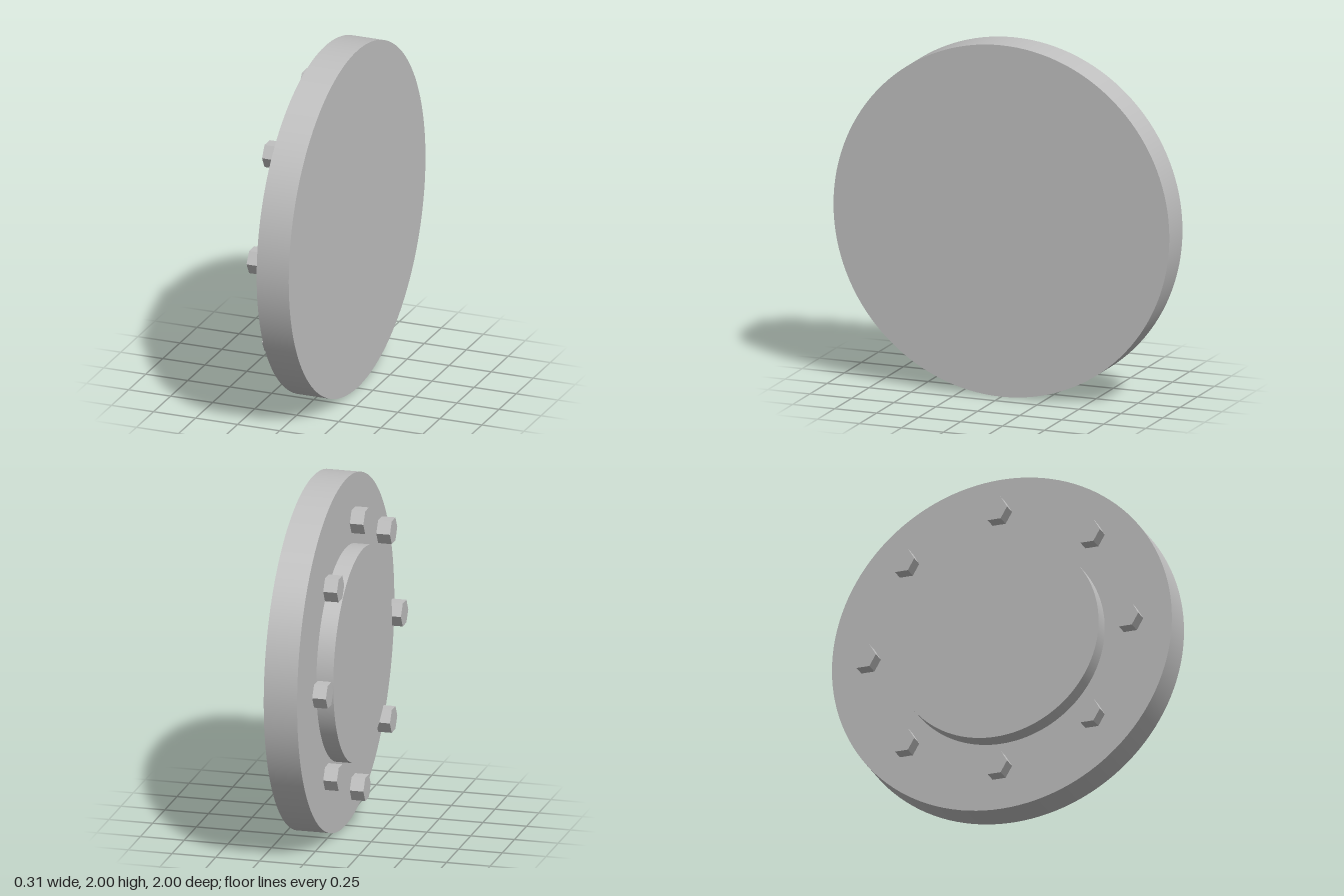
import * as THREE from 'three';

const steel = new THREE.MeshStandardMaterial({ color: 0xc0c0c0 });
steel.name = 'steel grey';

// Disc or prism lying along x, from x0 to x1
function axialPart(name, radius, x0, x1, sides, y = 1, z = 0) {
  let geometry = new THREE.CylinderGeometry(radius, radius, x1 - x0, sides);
  if (sides === 6) {
    // crisp facets for hexagonal parts
    geometry = geometry.toNonIndexed();
    geometry.computeVertexNormals();
  }
  geometry.rotateZ(Math.PI / 2);
  const mesh = new THREE.Mesh(geometry, steel);
  mesh.name = name;
  mesh.position.set((x0 + x1) / 2, y, z);
  return mesh;
}

export function createModel() {
  const model = new THREE.Group();
  model.name = 'blindFlange';

  // Main plate and its raised sealing face
  model.add(axialPart('flangePlate', 1, -0.035, 0.156, 128));
  model.add(axialPart('raisedFace', 0.605, -0.132, -0.035, 128));

  // Ring of eight hexagonal bolt heads, standing off the plate, all turned alike
  const bolts = new THREE.Group();
  bolts.name = 'boltHeads';
  for (let i = 0; i < 8; i++) {
    const a = (i * Math.PI) / 4;
    bolts.add(axialPart('boltHead' + (i + 1), 0.076, -0.157, -0.079, 6,
      1 + 0.772 * Math.sin(a), 0.772 * Math.cos(a)));
  }
  model.add(bolts);
  return model;
}
